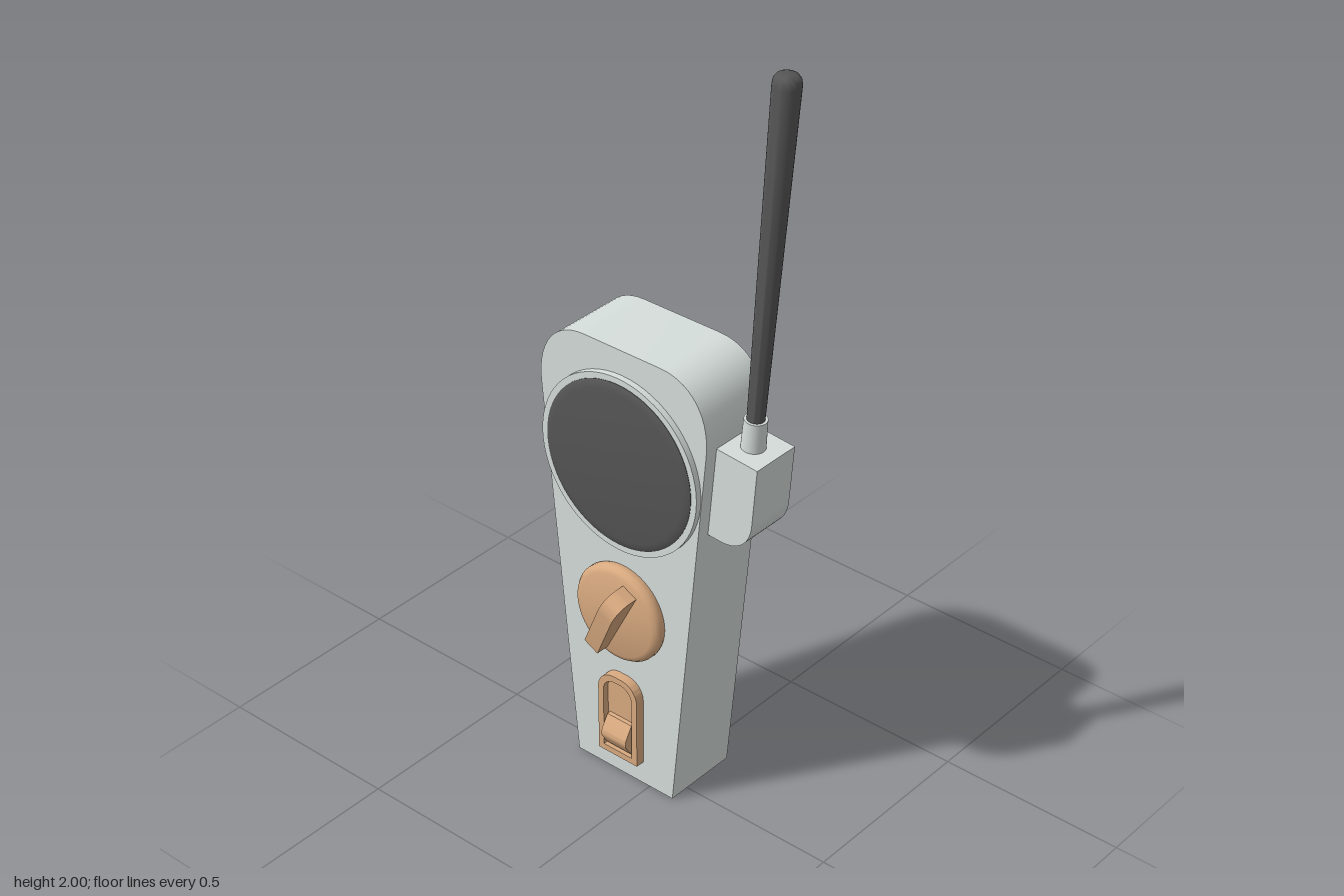
import * as THREE from 'three';
import { toCreasedNormals } from 'three/addons/utils/BufferGeometryUtils.js';

const shellMat = new THREE.MeshStandardMaterial({ color: 0xd6dedb });
const darkMat = new THREE.MeshStandardMaterial({ color: 0x555555 });
const tanMat = new THREE.MeshStandardMaterial({ color: 0xd9aa80 });

const CX = -0.08; // centre line of the body
const FRONT = 0.056; // front face of the body

function add(parent, name, geometry, material, x = 0, y = 0, z = 0) {
  const mesh = new THREE.Mesh(geometry, material);
  mesh.name = name;
  mesh.position.set(x, y, z);
  parent.add(mesh);
  return mesh;
}

function extrude(shape, depth) {
  const geo = new THREE.ExtrudeGeometry(shape, { depth, bevelEnabled: false, curveSegments: 14 });
  return toCreasedNormals(geo, 0.5);
}

// Turned part whose axis points along +z
function turned(points, segments = 64) {
  const geo = new THREE.LatheGeometry(points.map(([r, h]) => new THREE.Vector2(r, h)), segments);
  geo.rotateX(Math.PI / 2);
  return toCreasedNormals(geo, 0.6);
}

// Upright outline with square bottom and rounded top corners
function arch(path, w, bottom, top, r) {
  path.moveTo(-w, bottom);
  path.lineTo(w, bottom);
  path.lineTo(w, top - r);
  path.absarc(w - r, top - r, r, 0, Math.PI / 2);
  path.lineTo(r - w, top);
  path.absarc(r - w, top - r, r, Math.PI / 2, Math.PI);
  path.lineTo(-w, bottom);
  return path;
}

function createBody(model) {
  const s = new THREE.Shape();
  s.moveTo(-0.153, 0);
  s.lineTo(0.153, 0);
  s.lineTo(0.251, 1.04);
  s.bezierCurveTo(0.262, 1.15, 0.205, 1.222, 0.115, 1.222);
  s.lineTo(-0.115, 1.222);
  s.bezierCurveTo(-0.205, 1.222, -0.262, 1.15, -0.251, 1.04);
  s.lineTo(-0.153, 0);
  add(model, 'body', extrude(s, 0.209), shellMat, CX, 0, FRONT - 0.209);
}

function createSpeaker(model) {
  const g = new THREE.Group();
  g.name = 'speaker';
  g.position.set(CX, 0.92, FRONT);
  add(g, 'speakerRing', turned([[0.237, -0.01], [0.237, 0.016], [0.215, 0.016], [0.215, 0]]), shellMat);
  add(g, 'speakerCover', turned([[0.221, 0], [0.221, 0.017], [0.214, 0.021], [0.2, 0.023], [0, 0.024]]), darkMat);
  model.add(g);
}

function createKnob(model) {
  const g = new THREE.Group();
  g.name = 'knob';
  g.position.set(CX, 0.5, FRONT);
  add(g, 'knobDisc', turned([[0.127, -0.005], [0.131, 0.006], [0.131, 0.018], [0.125, 0.027], [0.113, 0.032], [0, 0.032]]), tanMat);

  // Side profile of the grip, drawn as (depth, height)
  const s = new THREE.Shape();
  s.moveTo(0.02, -0.103);
  s.lineTo(0.068, -0.103);
  s.lineTo(0.094, 0.045);
  s.quadraticCurveTo(0.097, 0.075, 0.085, 0.09);
  s.quadraticCurveTo(0.076, 0.1, 0.06, 0.103);
  s.lineTo(0.02, 0.103);
  const geo = extrude(s, 0.046);
  geo.translate(0, 0, -0.023);
  geo.rotateY(-Math.PI / 2);
  const grip = add(g, 'knobGrip', geo, tanMat, 0, -0.003, 0);
  grip.rotation.z = -0.47;
  model.add(g);
}

function createSwitch(model) {
  const g = new THREE.Group();
  g.name = 'switch';
  g.position.set(CX - 0.002, 0, FRONT);
  const frame = arch(new THREE.Shape(), 0.062, 0.066, 0.306, 0.05);
  frame.holes.push(arch(new THREE.Path(), 0.045, 0.083, 0.289, 0.036));
  add(g, 'switchFrame', extrude(frame, 0.025), tanMat);
  add(g, 'switchRecess', extrude(arch(new THREE.Shape(), 0.05, 0.078, 0.295, 0.04), 0.008), tanMat);

  // Rocker lever with a rounded crest, drawn as (depth, height)
  const s = new THREE.Shape();
  s.moveTo(0, 0.086);
  s.lineTo(0.018, 0.088);
  s.lineTo(0.036, 0.115);
  s.quadraticCurveTo(0.046, 0.13, 0.036, 0.147);
  s.lineTo(0.018, 0.176);
  s.lineTo(0, 0.178);
  const geo = extrude(s, 0.078);
  geo.translate(0, 0, -0.039);
  geo.rotateY(-Math.PI / 2);
  add(g, 'switchLever', geo, tanMat);
  model.add(g);
}

function createAntenna(model) {
  // Side bracket, rounded at its lower outer corner
  const s = new THREE.Shape();
  s.moveTo(0.1, 0.805);
  s.lineTo(0.19, 0.799);
  s.bezierCurveTo(0.24, 0.798, 0.272, 0.83, 0.277, 0.88);
  s.lineTo(0.29, 1.037);
  s.lineTo(0.1, 1.053);
  add(model, 'antennaBracket', extrude(s, 0.135), shellMat, 0, 0, -0.115);

  // Leaning rod in its collar
  const g = new THREE.Group();
  g.name = 'antenna';
  g.position.set(0.223, 1.03, -0.047);
  g.rotation.z = -0.077;
  add(g, 'antennaCollar', new THREE.CylinderGeometry(0.028, 0.03, 0.09, 32), shellMat, 0, 0.045, 0);
  const profile = [[0, 0.06], [0.021, 0.06], [0.033, 0.945], [0.031, 0.958], [0.025, 0.966], [0.015, 0.971], [0, 0.972]];
  const rod = new THREE.LatheGeometry(profile.map(([r, h]) => new THREE.Vector2(r, h)), 32);
  add(g, 'antennaRod', toCreasedNormals(rod, 0.8), darkMat);
  model.add(g);
}

export function createModel() {
  const model = new THREE.Group();
  model.name = 'handheldRadio';
  createBody(model);
  createSpeaker(model);
  createKnob(model);
  createSwitch(model);
  createAntenna(model);
  return model;
}
